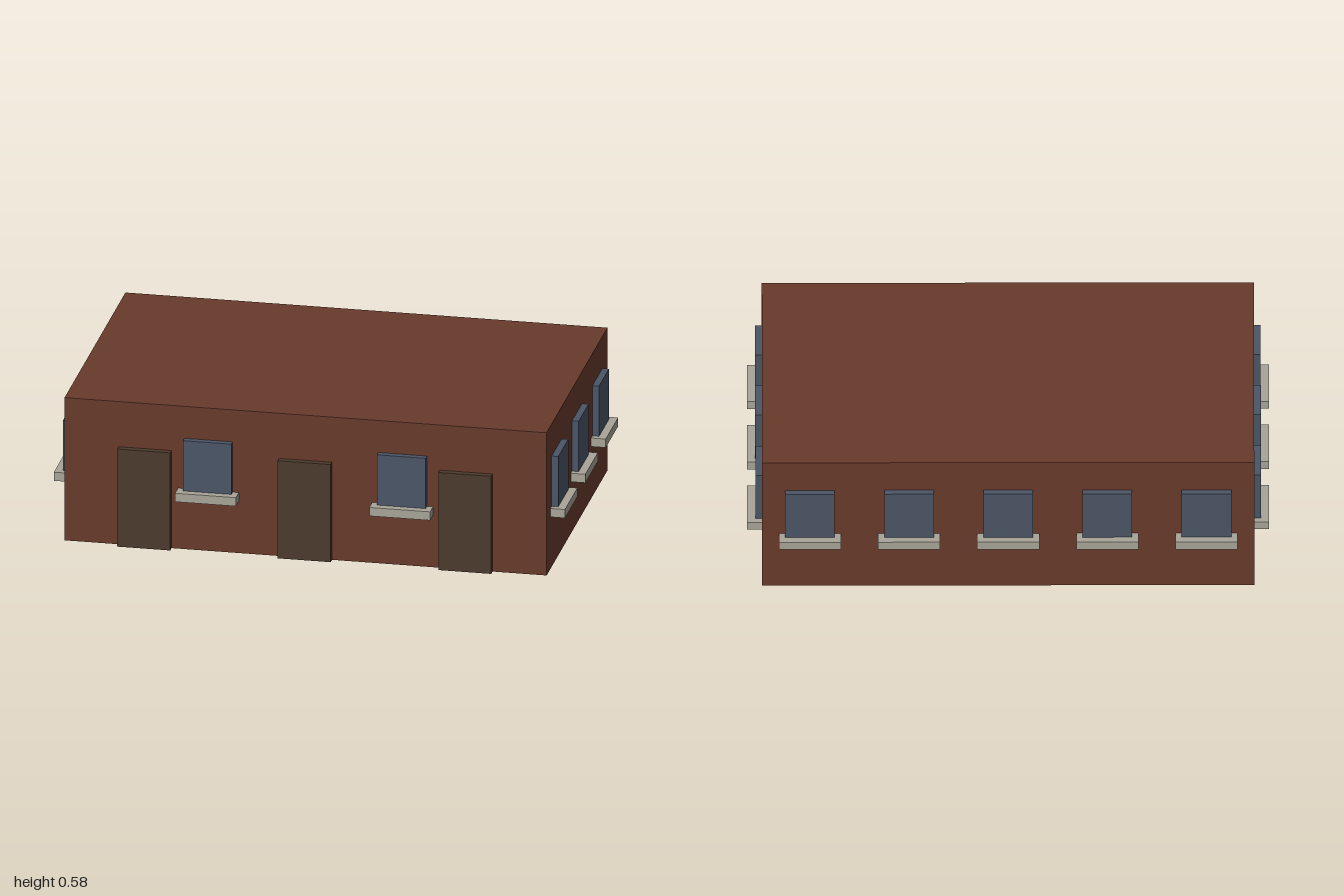
import * as THREE from 'three';

const HALF_W = 0.943, HALF_D = 0.579, HEIGHT = 0.585;

const material = (name, color) => {
  const m = new THREE.MeshStandardMaterial({ color });
  m.name = name;
  return m;
};

export function createModel() {
  const brick = material('brick', 0x683a2b);
  const glass = material('glass', 0x4b5566);
  const wood = material('wood', 0x4b3a2b);
  const stone = material('stone', 0xa8a498);

  const building = new THREE.Group();
  building.name = 'building';

  // Box spanning y0..y1, starting at the wall plane and standing out by depth
  const block = (parent, name, mat, x, width, y0, y1, depth) => {
    const mesh = new THREE.Mesh(new THREE.BoxGeometry(width, y1 - y0, depth), mat);
    mesh.position.set(x, (y0 + y1) / 2, depth / 2);
    mesh.name = name;
    parent.add(mesh);
  };

  // Main block
  const walls = new THREE.Mesh(new THREE.BoxGeometry(HALF_W * 2, HEIGHT, HALF_D * 2), brick);
  walls.position.y = HEIGHT / 2;
  walls.name = 'walls';
  building.add(walls);

  // Each facade is laid out facing +z, then turned to its side
  const facades = [
    { name: 'frontFacade', turn: 0, out: HALF_D, windows: [-0.38, 0.38], doors: [-0.628, 0, 0.628] },
    { name: 'leftFacade', turn: 1, out: HALF_W, windows: [-0.388, 0, 0.388], doors: [] },
    { name: 'backFacade', turn: 2, out: HALF_D, windows: [-0.76, -0.38, 0, 0.38, 0.76], doors: [] },
    { name: 'rightFacade', turn: 3, out: HALF_W, windows: [-0.388, 0, 0.388], doors: [] },
  ];
  for (const { name, turn, out, windows, doors } of facades) {
    const facade = new THREE.Group();
    facade.name = name;
    facade.rotation.y = turn * Math.PI / 2;
    facade.position.set(0, 0, out).applyAxisAngle(new THREE.Vector3(0, 1, 0), facade.rotation.y);
    for (const x of windows) {
      block(facade, 'windowPane', glass, x, 0.19, 0.24, 0.454, 0.026);
      block(facade, 'windowSill', stone, x, 0.238, 0.213, 0.248, 0.057);
    }
    for (const x of doors) block(facade, 'door', wood, x, 0.207, 0, 0.4, 0.026);
    building.add(facade);
  }
  return building;
}
